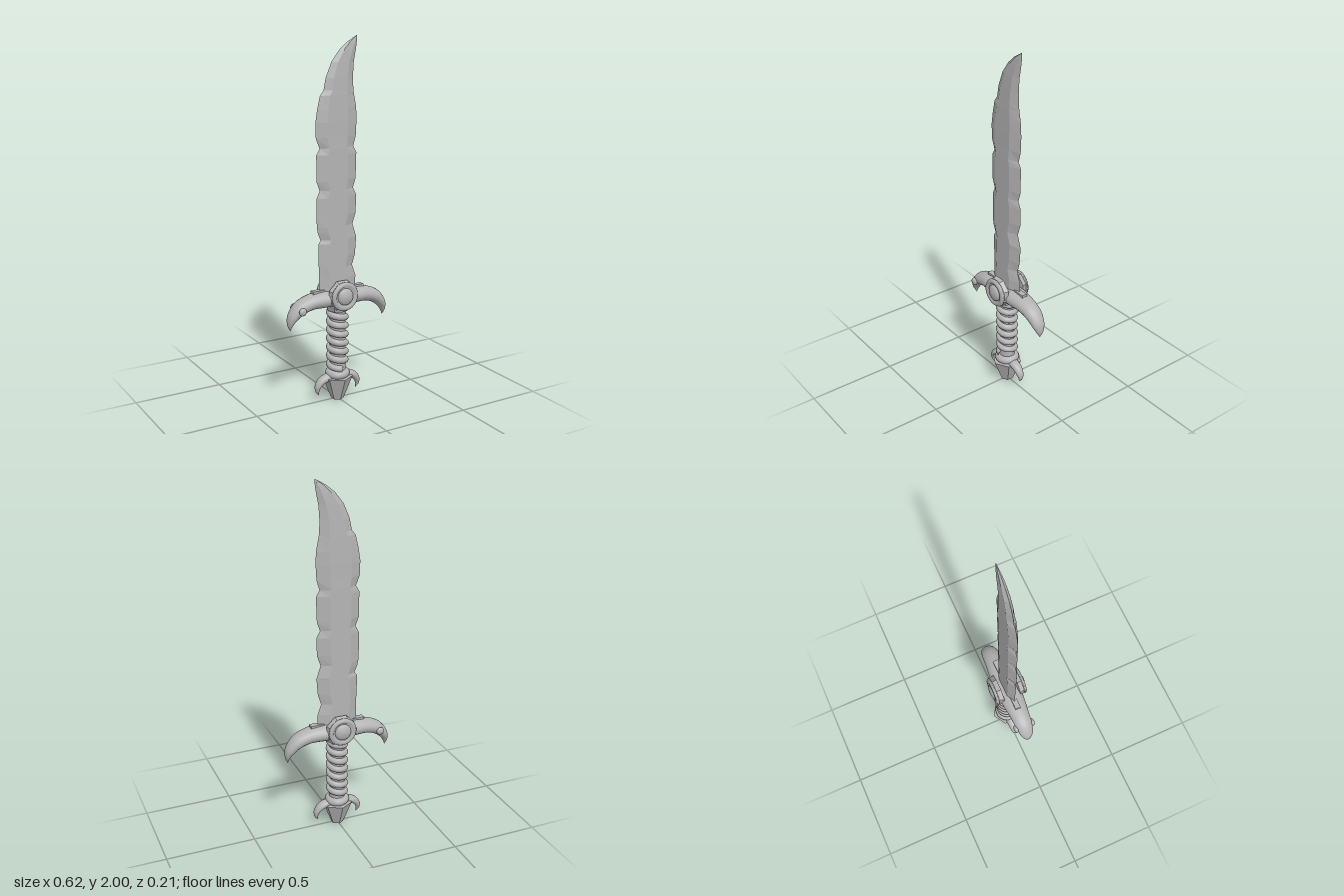
import * as THREE from 'three';

const steel = new THREE.MeshStandardMaterial({ color: 0xb4b4b4 });
steel.name = 'grey steel';

// Skin a list of equal-length rings of points (rings run counter-clockwise about the path)
function loft(rings, flat) {
  const n = rings[0].length, pos = [], idx = [];
  rings.forEach(r => r.forEach(p => pos.push(...p)));
  for (let i = 0; i < rings.length - 1; i++) {
    for (let j = 0; j < n; j++) {
      const a = i * n + j, b = i * n + (j + 1) % n;
      idx.push(a, b, a + n, b, b + n, a + n);
    }
  }
  let g = new THREE.BufferGeometry();
  g.setAttribute('position', new THREE.Float32BufferAttribute(pos, 3));
  g.setIndex(idx);
  if (flat) g = g.toNonIndexed();
  g.computeVertexNormals();
  return g;
}

// Mirrored horned bar: half profile of [x, y, radius in plane, radius in z], centre to tip
function hornBar(half) {
  const all = [...half.slice(1).reverse().map(([x, ...r]) => [-x, ...r]), ...half];
  const path = new THREE.CatmullRomCurve3(all.map(p => new THREE.Vector3(p[0], p[1], 0)));
  const size = new THREE.CatmullRomCurve3(all.map(p => new THREE.Vector3(p[2], p[3], 0)));
  const rings = [], steps = 72, sides = 20;
  for (let i = 0; i <= steps; i++) {
    const t = i / steps, c = path.getPoint(t), d = path.getTangent(t), s = size.getPoint(t);
    rings.push(Array.from({ length: sides }, (_, j) => {
      const a = j / sides * Math.PI * 2;
      const u = Math.cos(a) * Math.max(s.x, 0.0005), w = Math.sin(a) * Math.max(s.y, 0.0005);
      return [c.x - d.y * u, c.y + d.x * u, w];
    }));
  }
  return loft(rings);
}

// Blade outline as [y, cutting edge x, spine x, half thickness]
const BLADE = [
  [0.6, -0.115, 0.115, 0.026], [0.7, -0.115, 0.115, 0.026], [0.76, -0.115, 0.093, 0.026],
  [0.82, -0.118, 0.112, 0.026], [0.9, -0.118, 0.118, 0.026], [0.92, -0.103, 0.118, 0.026],
  [0.96, -0.12, 0.105, 0.026], [0.99, -0.126, 0.095, 0.026], [1.05, -0.128, 0.115, 0.026],
  [1.15, -0.127, 0.118, 0.026], [1.19, -0.108, 0.097, 0.026], [1.24, -0.127, 0.114, 0.026],
  [1.38, -0.128, 0.118, 0.026], [1.415, -0.108, 0.098, 0.026], [1.47, -0.13, 0.114, 0.025],
  [1.55, -0.132, 0.118, 0.025], [1.62, -0.121, 0.116, 0.024], [1.69, -0.104, 0.102, 0.023],
  [1.715, -0.083, 0.098, 0.022], [1.78, -0.07, 0.095, 0.02], [1.86, -0.036, 0.1, 0.017],
  [1.92, 0.01, 0.112, 0.013], [1.96, 0.058, 0.118, 0.008], [1.995, 0.119, 0.12, 0.0005]
];

class Helix extends THREE.Curve {
  getPoint(t, v = new THREE.Vector3()) {
    const a = t * 7 * Math.PI * 2;
    return v.set(0.044 * Math.sin(a), 0.535 - 0.35 * t, 0.044 * Math.cos(a));
  }
}

export function createModel() {
  const model = new THREE.Group();
  model.name = 'dagger';
  const add = (name, geo, x = 0, y = 0, z = 0) => {
    const m = new THREE.Mesh(geo, steel);
    m.name = name;
    m.position.set(x, y, z);
    model.add(m);
    return m;
  };
  const flat = g => {
    const f = g.toNonIndexed();
    f.computeVertexNormals();
    return f;
  };
  const lathe = (pts, sides) => new THREE.LatheGeometry(pts.map(p => new THREE.Vector2(...p)), sides);

  // Scalloped blade with bevelled edges
  add('blade', loft(BLADE.map(([y, l, r, t]) => {
    const w = r - l, a = l + w * 0.23, b = r - w * 0.27;
    return [[l, y, 0], [a, y, t], [b, y, t], [r, y, 0], [b, y, -t], [a, y, -t]];
  }), true));
  add('bladeSocket', new THREE.BoxGeometry(0.316, 0.06, 0.032), 0, 0.615, 0);

  // Down-curved guard
  add('guard', hornBar([
    [0, 0.594, 0.048, 0.07], [0.09, 0.592, 0.047, 0.066], [0.17, 0.586, 0.042, 0.056],
    [0.235, 0.562, 0.038, 0.05], [0.28, 0.515, 0.027, 0.038], [0.294, 0.475, 0.014, 0.02],
    [0.293, 0.442, 0, 0]
  ]));
  for (const s of [1, -1]) {
    add('guardStud', new THREE.SphereGeometry(0.022, 16, 12), -0.242, 0.556, s * 0.051).scale.z = 0.6;
  }

  // Medallion on each face: faceted base, rim and domed boss
  for (const s of [1, -1]) {
    const medal = new THREE.Group();
    medal.name = 'medallion';
    medal.position.set(0, 0.613, 0);
    medal.rotation.x = s * Math.PI / 2;
    const base = lathe([[0, 0.045], [0.088, 0.05], [0.077, 0.08]], 8);
    base.rotateY(Math.PI / 8);
    const rim = lathe([[0.07, 0.076], [0.08, 0.078], [0.081, 0.084], [0.074, 0.094],
      [0.058, 0.095], [0.052, 0.086], [0, 0.086]], 32);
    const boss = lathe([[0.047, 0.084], [0.045, 0.093], [0.034, 0.1], [0.018, 0.105], [0, 0.107]], 32);
    [['medallionBase', flat(base)], ['medallionRim', rim], ['medallionBoss', boss]].forEach(([n, g]) => {
      const m = new THREE.Mesh(g, steel);
      m.name = n;
      medal.add(m);
    });
    model.add(medal);
  }

  // Grip with spiral wrap
  add('gripCollar', flat(new THREE.CylinderGeometry(0.075, 0.058, 0.05, 8)), 0, 0.542, 0);
  add('grip', new THREE.CylinderGeometry(0.045, 0.045, 0.42, 24), 0, 0.35, 0);
  add('gripWrap', new THREE.TubeGeometry(new Helix(), 260, 0.019, 10));

  // Pommel with a ring, small horns and a faceted spike
  const ring = new THREE.TorusGeometry(0.045, 0.024, 12, 32);
  ring.rotateX(Math.PI / 2);
  add('pommelRing', ring, 0, 0.15, 0);
  add('pommelHorns', hornBar([
    [0, 0.135, 0.025, 0.03], [0.06, 0.132, 0.024, 0.03], [0.1, 0.118, 0.022, 0.027],
    [0.125, 0.088, 0.017, 0.021], [0.128, 0.06, 0.01, 0.012], [0.118, 0.036, 0, 0]
  ]));
  add('pommel', flat(new THREE.CylinderGeometry(0.086, 0.036, 0.13, 6)), 0, 0.065, 0);

  return model;
}
